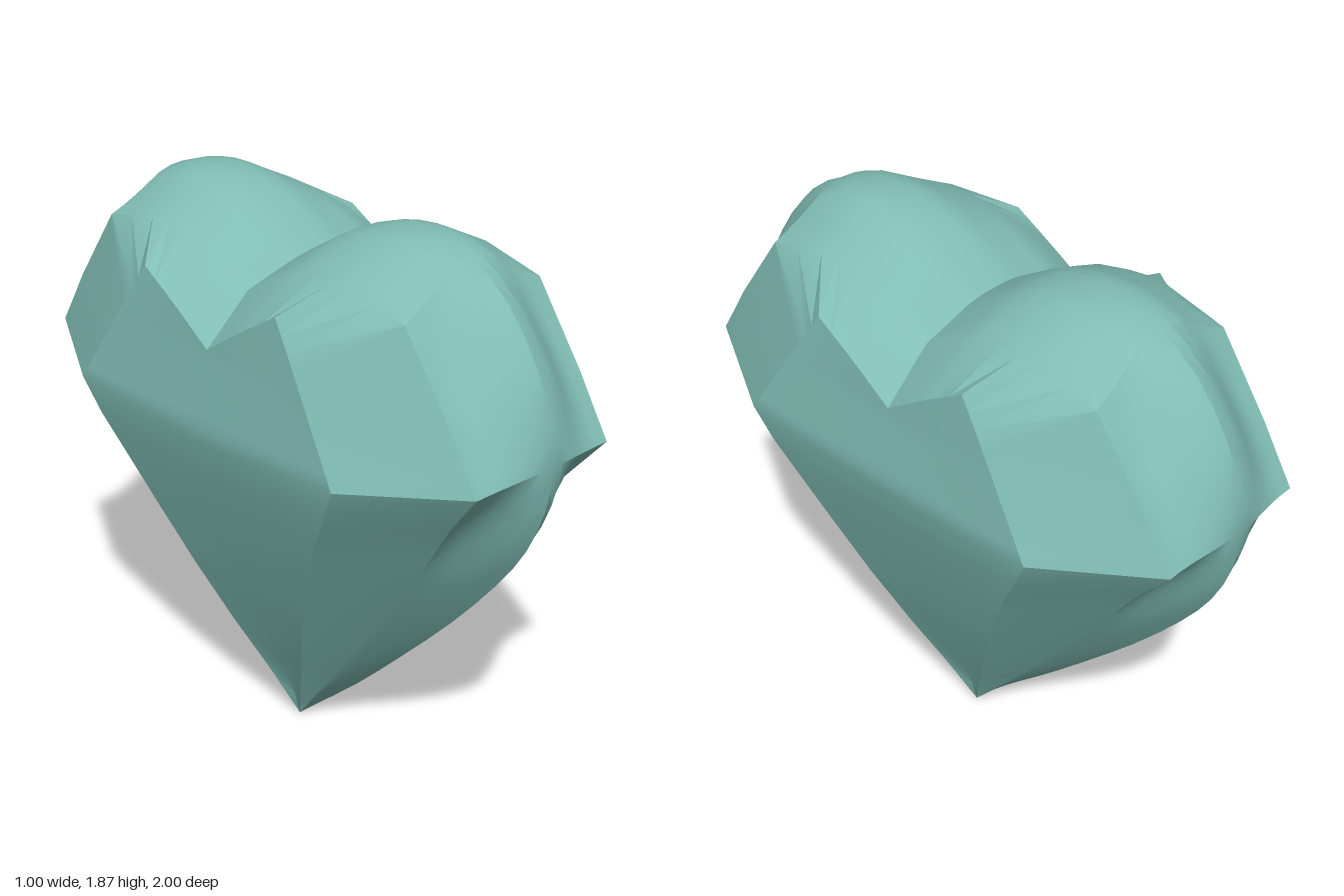
import * as THREE from 'three';
import { toCreasedNormals } from 'three/addons/utils/BufferGeometryUtils.js';

// Stations run from the cleft over the front lobe down to the tip.
// Outline on the middle plane: [z, y]
const OUTLINE = [
  [0, 1.69], [0.1, 1.755], [0.22, 1.825], [0.36, 1.863], [0.5, 1.868], [0.65, 1.835],
  [0.8, 1.735], [0.92, 1.57], [0.975, 1.43], [0.998, 1.28], [0.98, 1.13], [0.915, 0.97],
  [0.805, 0.81], [0.625, 0.6], [0.41, 0.38], [0.205, 0.18], [0, 0],
];
// Shoulder where the rounded rim meets the facets: [x, y, z]
const SHOULDER = [
  [0.29, 1.63, 0], [0.29, 1.675, 0.08], [0.29, 1.725, 0.18], [0.29, 1.755, 0.3],
  [0.29, 1.765, 0.45], [0.29, 1.71, 0.67], [0.29, 1.58, 0.76], [0.29, 1.45, 0.85],
  [0.29, 1.35, 0.91], [0.29, 1.26, 0.965], [0.255, 1.11, 0.84], [0.22, 0.97, 0.74],
  [0.19, 0.81, 0.63], [0.165, 0.6, 0.465], [0.135, 0.38, 0.3], [0.11, 0.18, 0.145], [0.08, 0, 0],
];
// Border of the flat side facets: [x, y, z]
const FACET = [
  [0.46, 1.48, 0], [0.458, 1.52, 0.06], [0.456, 1.56, 0.12], [0.453, 1.61, 0.2],
  [0.45, 1.67, 0.3], [0.46, 1.58, 0.36], [0.47, 1.49, 0.418], [0.48, 1.4, 0.475],
  [0.49, 1.31, 0.533], [0.5, 1.22, 0.59], [0.475, 1.1, 0.53], [0.435, 0.96, 0.45],
  [0.385, 0.8, 0.37], [0.315, 0.59, 0.27], [0.23, 0.37, 0.17], [0.15, 0.18, 0.08], [0.08, 0, 0],
];
const LAST = OUTLINE.length - 1;
const TABLE = 6;      // up to here the facets fan out from the cleft corner
const RIM_STEPS = 6;
const { lerp, smoothstep } = THREE.MathUtils;
const outlineCurve = new THREE.SplineCurve(OUTLINE.map(([z, y]) => new THREE.Vector2(z, y)));

// Value between two stations of a list
function between(list, t) {
  const i = Math.min(Math.floor(t), LAST - 1);
  return list[i].map((v, k) => lerp(v, list[i + 1][k], t - i));
}

// How the rim falls from outline to shoulder: a flat crown with sloped sides on
// top, a bulge with a shallow valley in front, straight facets toward the tip
function rimFall(u, t) {
  const crown = Math.max(0.04 * u, (u - 0.27) / 0.73);
  const bulge = smoothstep(u, 0, 0.87);
  return lerp(lerp(crown, bulge, smoothstep(t, 4.5, 6)), u, smoothstep(t, 10, 12.5));
}

// One cross-section from the middle plane out to the centre line of the side
function section(t) {
  const { x: z0, y: y0 } = outlineCurve.getPoint(t / LAST);
  const s = between(SHOULDER, t);
  const f = between(FACET, t);
  const points = [];
  for (let k = 0; k <= RIM_STEPS; k++) {
    const u = k / RIM_STEPS;
    const fall = rimFall(u, t);
    points.push([s[0] * u, lerp(y0, s[1], fall), lerp(z0, s[2], fall)]);
  }
  const inset = t === LAST ? 0 : 0.012;
  points.push(f, t <= TABLE ? FACET[0] : [f[0] - inset, Math.min(f[1], 1.48), 0]);
  return points;
}

// Joins the cross-sections and mirrors them to all four quarters
function heartGeometry() {
  const sections = [];
  for (let t = 0; t <= LAST; t += 0.5) sections.push(section(t));
  const positions = [];
  const a = new THREE.Vector3(), b = new THREE.Vector3(), c = new THREE.Vector3();
  const triangle = (p, q, r) => {
    a.fromArray(p); b.fromArray(q); c.fromArray(r);
    if (b.sub(a).cross(c.sub(a)).length() < 1e-6) return;
    for (const sx of [1, -1]) {
      for (const sz of [1, -1]) {
        const order = sx * sz > 0 ? [p, q, r] : [p, r, q];
        for (const v of order) positions.push(v[0] * sx, v[1], v[2] * sz);
      }
    }
  };
  for (let i = 0; i < sections.length - 1; i++) {
    for (let k = 0; k < sections[i].length - 1; k++) {
      const p = sections[i][k], q = sections[i + 1][k];
      const r = sections[i][k + 1], s = sections[i + 1][k + 1];
      triangle(p, q, s);
      triangle(p, s, r);
    }
  }
  const geometry = new THREE.BufferGeometry();
  geometry.setAttribute('position', new THREE.Float32BufferAttribute(positions, 3));
  return toCreasedNormals(geometry, 0.42);
}

export function createModel() {
  const group = new THREE.Group();
  group.name = 'heartGem';
  const teal = new THREE.MeshStandardMaterial({ color: 0x80bdb4 });
  teal.name = 'teal';
  const heart = new THREE.Mesh(heartGeometry(), teal);
  heart.name = 'heartBody';
  group.add(heart);
  return group;
}
